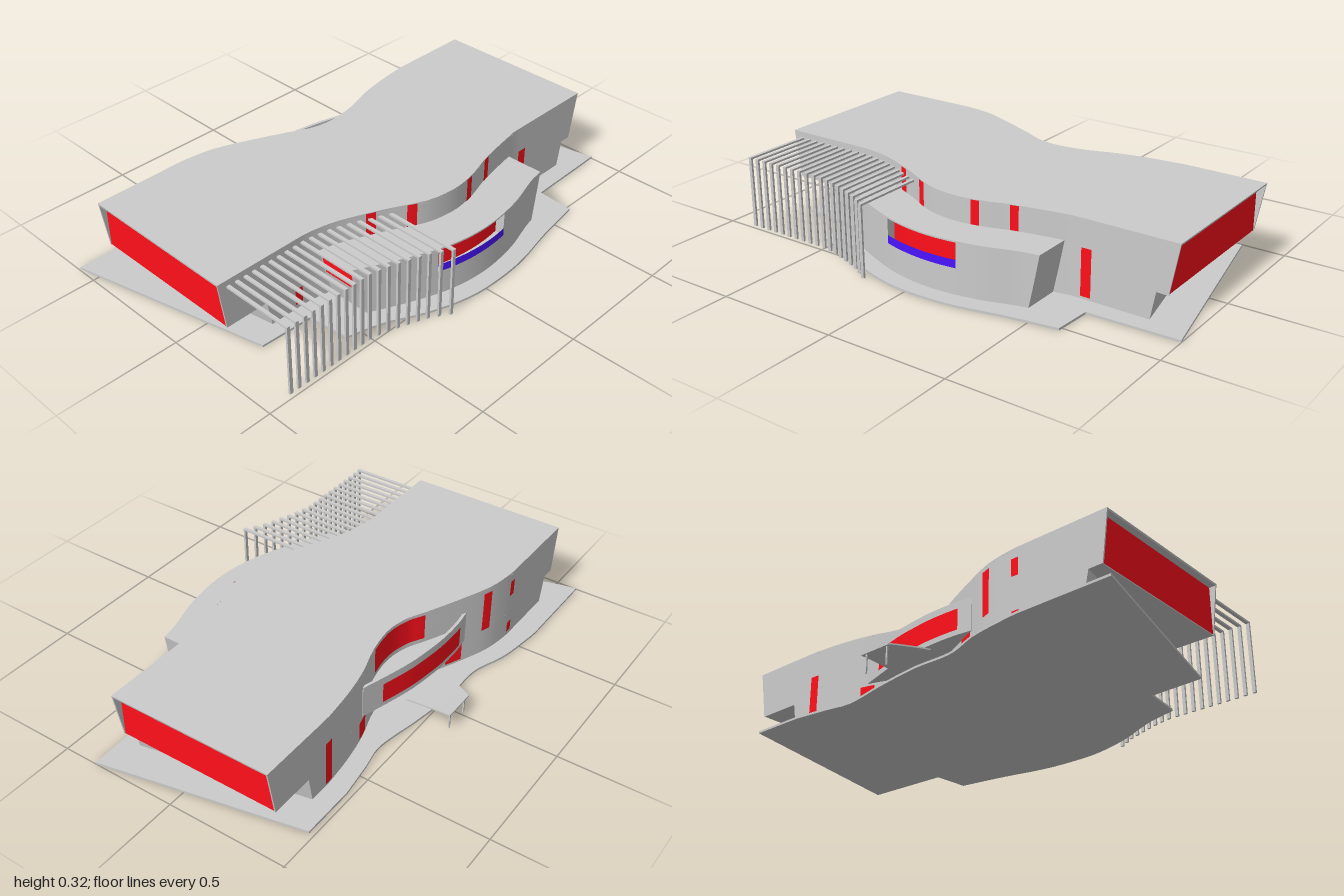
import * as THREE from 'three';
import { toCreasedNormals } from 'three/addons/utils/BufferGeometryUtils.js';

const grey = new THREE.MeshStandardMaterial({ color: 0xcccccc, side: THREE.DoubleSide });
const red = new THREE.MeshStandardMaterial({ color: 0xff0f1a, side: THREE.DoubleSide });
const blue = new THREE.MeshStandardMaterial({ color: 0x4a14ff, side: THREE.DoubleSide });

// Wall line in plan: x as a smooth function of z, from [z, x] points with rising z
function wallLine(pts) {
  const n = pts.length;
  const slope = pts.map((p, i) => {
    const a = pts[Math.max(i - 1, 0)], b = pts[Math.min(i + 1, n - 1)];
    return (b[1] - a[1]) / (b[0] - a[0]);
  });
  return (z) => {
    if (z <= pts[0][0]) return pts[0][1];
    if (z >= pts[n - 1][0]) return pts[n - 1][1];
    let i = 0;
    while (z > pts[i + 1][0]) i++;
    const h = pts[i + 1][0] - pts[i][0], t = (z - pts[i][0]) / h, t2 = t * t, t3 = t2 * t;
    return (2 * t3 - 3 * t2 + 1) * pts[i][1] + (t3 - 2 * t2 + t) * h * slope[i]
      + (3 * t2 - 2 * t3) * pts[i + 1][1] + (t3 - t2) * h * slope[i + 1];
  };
}

// [x, z] points along a wall line
function along(line, z0, z1, offset = 0, steps = 48) {
  return Array.from({ length: steps + 1 }, (_, i) => {
    const z = z0 + ((z1 - z0) * i) / steps;
    return [line(z) + offset, z];
  });
}

// Solid between two plan outlines with matching points
function loft(bottom, top, y0, y1) {
  const v2 = top.map((p) => new THREE.Vector2(...p));
  if (THREE.ShapeUtils.area(v2) < 0) {
    bottom = [...bottom].reverse(); top = [...top].reverse(); v2.reverse();
  }
  const pos = [], n = top.length;
  const lo = (i) => pos.push(bottom[i][0], y0, bottom[i][1]);
  const hi = (i) => pos.push(top[i][0], y1, top[i][1]);
  for (let i = 0; i < n; i++) {
    const j = (i + 1) % n;
    lo(i); hi(j); lo(j);
    lo(i); hi(i); hi(j);
  }
  for (const [a, b, c] of THREE.ShapeUtils.triangulateShape(v2, [])) {
    const flip = THREE.ShapeUtils.area([v2[a], v2[b], v2[c]]) < 0;
    const t = flip ? [a, c, b] : [a, b, c];
    t.forEach(lo);
    [t[0], t[2], t[1]].forEach(hi);
  }
  const g = new THREE.BufferGeometry();
  g.setAttribute('position', new THREE.Float32BufferAttribute(pos, 3));
  g.computeVertexNormals();
  return toCreasedNormals(g, 0.5);
}

// Thin upright strip following plan points
function ribbon(pts, y0, y1) {
  const pos = [], idx = [];
  pts.forEach(([x, z], i) => {
    pos.push(x, y0, z, x, y1, z);
    if (i) idx.push(2 * i - 2, 2 * i, 2 * i - 1, 2 * i, 2 * i + 1, 2 * i - 1);
  });
  const g = new THREE.BufferGeometry();
  g.setAttribute('position', new THREE.Float32BufferAttribute(pos, 3));
  g.setIndex(idx);
  g.computeVertexNormals();
  return g;
}

const leftWall = wallLine([[-0.6, -0.4], [-0.46, -0.385], [-0.33, -0.36], [-0.2, -0.32], [-0.07, -0.302],
  [0.03, -0.32], [0.1, -0.355], [0.28, -0.435], [0.4, -0.48], [0.52, -0.5]]);
const rightWall = wallLine([[-0.52, 0.285], [-0.3, 0.325], [-0.18, 0.36], [-0.08, 0.375], [0.0, 0.37], [0.08, 0.35],
  [0.22, 0.28], [0.4, 0.205], [0.52, 0.18]]);
const annexWall = wallLine([[-0.49, 0.45], [-0.42, 0.462], [-0.25, 0.51], [-0.07, 0.53], [0.1, 0.51],
  [0.27, 0.45], [0.47, 0.355]]);
const balconyWall = wallLine([[-0.33, -0.362], [-0.2, -0.4], [-0.1, -0.425], [0.0, -0.44], [0.09, -0.448],
  [0.2, -0.447], [0.28, -0.437]]);
const slabLeft = wallLine([[-0.6, -0.48], [-0.45, -0.46], [-0.34, -0.443], [-0.13, -0.48], [0.07, -0.507],
  [0.25, -0.51], [0.4, -0.56], [0.6, -0.59]]);
const slabRight = wallLine([[-0.62, 0.52], [-0.42, 0.55], [-0.22, 0.59], [-0.07, 0.6], [0.08, 0.59],
  [0.25, 0.54], [0.42, 0.46], [0.56, 0.42]]);

// Main plan, with separate z for the left and right end of front and back
const plan = (fl, fr, bl, br) => [...along(leftWall, bl, fl), ...along(rightWall, fr, br)];

export function createModel() {
  const model = new THREE.Group();
  const add = (name, geometry, material = grey, parent = model) => {
    const m = new THREE.Mesh(geometry, material);
    m.name = name;
    parent.add(m);
    return m;
  };

  // Ground slab
  const slab = [...along(slabLeft, -0.83, 0.995), [0.24, 0.8], [0.25, 0.58],
    ...along(slabRight, 0.56, -0.62), [0.365, -0.63], [0.355, -1]];
  add('groundSlab', loft(slab, slab, 0, 0.009));

  // Lower storey with skewed, leaning ends; upper storey; roof
  add('lowerStorey', loft(plan(0.82, 0.7, -0.7, -0.84), plan(0.845, 0.72, -0.72, -0.86), 0.009, 0.12));
  const upper = plan(0.9, 0.9, -0.905, -0.905);
  add('upperStorey', loft(upper, upper, 0.12, 0.314));
  const roofLow = plan(0.929, 0.929, -0.943, -0.943), roofHigh = plan(0.93, 0.93, -0.945, -0.945);
  add('roof', loft(roofLow, roofHigh, 0.314, 0.322));

  // End glazing with tapered side fins
  for (const [name, z, tip] of [['front', 0.9, 0.929], ['back', -0.905, -0.943]]) {
    const l = leftWall(z), r = rightWall(z), s = Math.sign(z);
    add(name + 'Glazing', ribbon([[l + 0.006, z + s * 0.002], [r - 0.006, z + s * 0.002]], 0.122, 0.314), red);
    for (const [x0, x1] of [[l, l + 0.006], [r - 0.006, r]]) {
      const low = [[x0, z - s * 0.01], [x1, z - s * 0.01], [x1, z + s * 0.003], [x0, z + s * 0.003]];
      const high = [low[0], low[1], [x1, tip], [x0, tip]];
      add(name + 'Fin', loft(low, high, 0.12, 0.314));
    }
  }

  // Side annex: base, set-back window bay, end pieces and thin roof
  const annexAt = (z0, z1, out = 0) => [...along(rightWall, z0, z1, -0.03), ...along(annexWall, z1, z0, out)];
  const lean = (y) => [-0.45 - 0.04 * y / 0.22, 0.42 + 0.05 * y / 0.22];
  const [b0, f0] = lean(0), [b1, f1] = lean(0.115), [b2, f2] = lean(0.215);
  add('annexBase', loft(annexAt(b0, f0), annexAt(b1, f1), 0.009, 0.115));
  add('annexBackPart', loft(annexAt(b1, -0.18), annexAt(b2, -0.18), 0.115, 0.215));
  add('annexFrontPart', loft(annexAt(0.16, f1), annexAt(0.16, f2), 0.115, 0.215));
  const bay = annexAt(-0.18, 0.16, -0.04);
  add('annexBay', loft(bay, bay, 0.115, 0.215));
  add('annexRoof', loft(annexAt(b2, f2), annexAt(-0.49, 0.47), 0.215, 0.221));
  add('annexBayWindow', ribbon(along(annexWall, -0.18, 0.16, -0.038), 0.115, 0.215), red);
  add('annexRailing', ribbon(along(annexWall, -0.18, 0.16, 0.001), 0.115, 0.148), blue);
  const pane = ribbon([[0.203, 0.455], [0.352, 0.455]], 0.12, 0.215);
  const pp = pane.attributes.position;
  for (let i = 0; i < pp.count; i++) pp.setZ(i, lean(pp.getY(i))[1] + 0.003);
  add('annexFrontWindow', pane, red);

  // Left balcony: floor, parapet and glazing
  const deck = [...along(leftWall, -0.33, 0.28, 0.02), ...along(balconyWall, 0.28, -0.33)];
  add('balconyFloor', loft(deck, deck, 0.11, 0.18));
  const parapet = [...along(balconyWall, -0.33, 0.28), ...along(balconyWall, 0.28, -0.33, 0.012)];
  add('balconyParapet', loft(parapet, parapet, 0.11, 0.245));
  add('balconyBand', ribbon(along(balconyWall, -0.24, 0.22, -0.002), 0.13, 0.215), red);
  add('balconyWindow', ribbon(along(leftWall, -0.19, 0.1, -0.002), 0.2, 0.31), red);

  // Small windows: wall, offset, z from, z to, y from, y to
  const windows = [
    [rightWall, 0.002, 0.255, 0.29, 0.222, 0.32], [rightWall, 0.002, 0.11, 0.145, 0.222, 0.32],
    [rightWall, 0.002, -0.168, -0.135, 0.222, 0.32], [rightWall, 0.002, -0.315, -0.283, 0.222, 0.32],
    [rightWall, 0.002, -0.6, -0.558, 0.02, 0.21], [rightWall, 0.002, 0.55, 0.585, 0.03, 0.1],
    [leftWall, -0.002, -0.62, -0.58, 0.02, 0.21], [leftWall, -0.002, -0.36, -0.3, 0.02, 0.1],
    [leftWall, -0.002, 0.2, 0.27, 0.02, 0.11], [leftWall, -0.002, 0.36, 0.4, 0.12, 0.3],
    [leftWall, -0.002, 0.52, 0.55, 0.21, 0.28], [leftWall, -0.002, 0.52, 0.55, 0.03, 0.075],
  ];
  for (const [wall, off, z0, z1, y0, y1] of windows)
    add('sideWindow', ribbon(along(wall, z0, z1, off, 6), y0, y1), red);

  // Entrance canopy: a thin bowed sheet on two legs
  const sheet = new THREE.BoxGeometry(1, 0.006, 1, 8, 1, 1);
  const sp = sheet.attributes.position;
  for (let i = 0; i < sp.count; i++) {
    const t = sp.getX(i) + 0.5, far = sp.getZ(i) > 0;
    const x = THREE.MathUtils.lerp(-0.605, far ? -0.447 : -0.43, t);
    const z = far ? 0.03 + 0.06 * t : -0.11 - 0.03 * t;
    sp.setXYZ(i, x, sp.getY(i) + 0.076 + 0.024 * t - 0.008 * t * t, z);
  }
  sheet.computeVertexNormals();
  add('canopy', sheet);
  for (const z of [-0.09, 0.015])
    add('canopyLeg', new THREE.BoxGeometry(0.006, 0.075, 0.006).translate(-0.594, 0.0375, z));

  // Pergola: rows of beam and post
  const pergola = new THREE.Group();
  pergola.name = 'pergola';
  model.add(pergola);
  const edge = wallLine([[0.2, 0.6], [0.24, 0.575], [0.28, 0.553], [0.33, 0.535], [0.37, 0.52], [0.43, 0.5], [0.5, 0.483]]);
  const rows = 19;
  for (let i = 0; i < rows; i++) {
    const z = 0.2 + (0.685 * i) / (rows - 1), x0 = rightWall(z) - 0.01, x1 = edge(z);
    add('beam', new THREE.BoxGeometry(x1 - x0, 0.008, 0.014).translate((x0 + x1) / 2, 0.294, z), grey, pergola);
    add('post', new THREE.BoxGeometry(0.009, 0.298, 0.014).translate(x1 - 0.0045, 0.149, z), grey, pergola);
  }
  return model;
}
